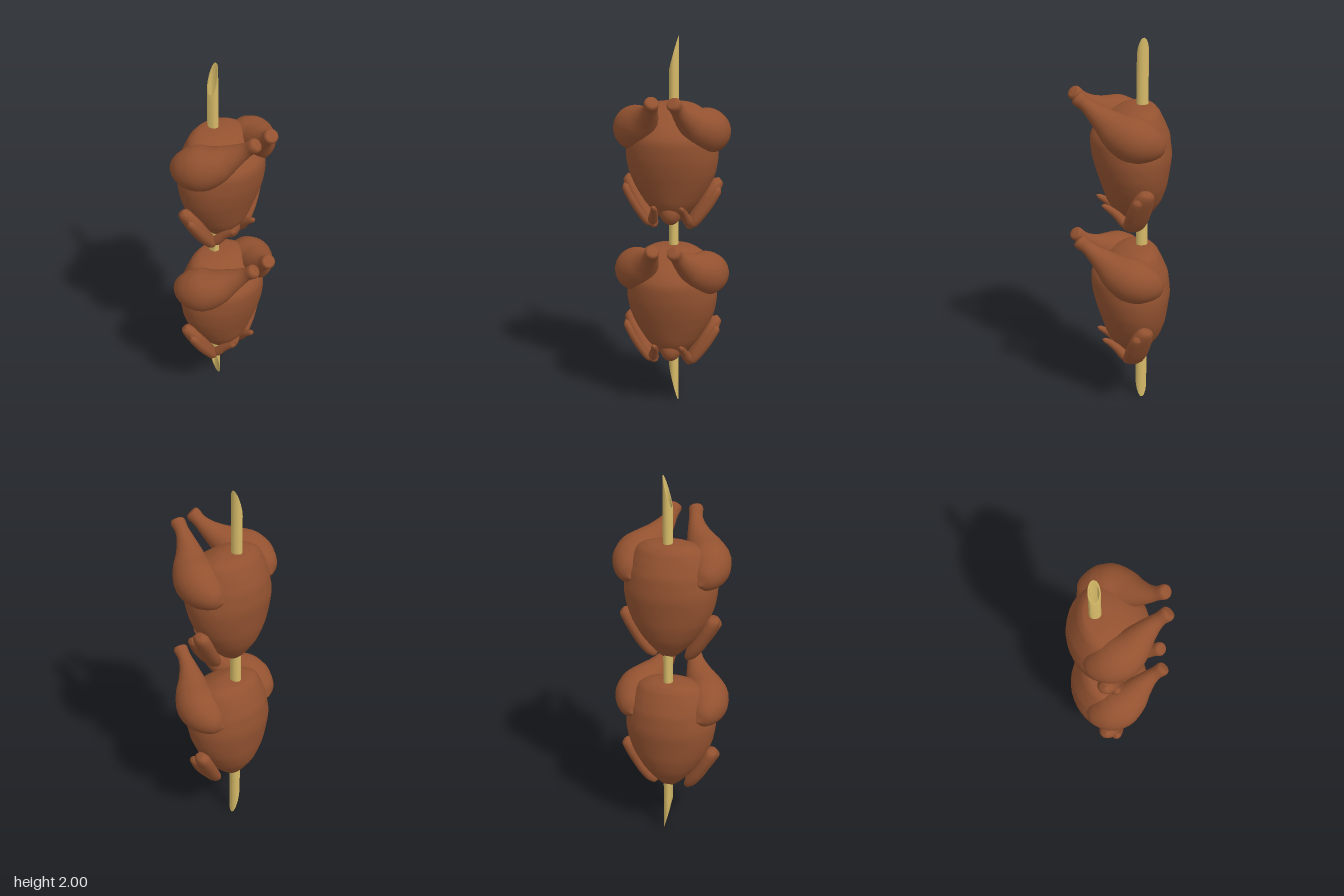
import * as THREE from 'three';
import { toCreasedNormals } from 'three/addons/utils/BufferGeometryUtils.js';

const material = (name, hex) => {
  const m = new THREE.MeshStandardMaterial({ color: hex });
  m.name = name;
  return m;
};

// Smooth closed loft through elliptical sections [x, y, z, radiusA, radiusB].
// ref steers the ring orientation; axis, if given, fixes the ring normal.
function loft(sections, ref, axis, steps = 3, sides = 28) {
  const path = new THREE.CatmullRomCurve3(sections.map(s => new THREE.Vector3(s[0], s[1], s[2])));
  const radii = new THREE.CatmullRomCurve3(sections.map(s => new THREE.Vector3(s[3], s[4] ?? s[3], 0)));
  const n = (sections.length - 1) * steps;
  const pos = [], index = [];
  for (let i = 0; i <= n; i++) {
    const c = path.getPoint(i / n), r = radii.getPoint(i / n);
    const t = axis ?? path.getTangent(i / n);
    const a = t.clone().cross(ref).normalize();
    const b = t.clone().cross(a).normalize();
    for (let j = 0; j < sides; j++) {
      const w = (j / sides) * Math.PI * 2;
      const p = c.clone()
        .addScaledVector(a, Math.cos(w) * Math.max(r.x, 0.0005))
        .addScaledVector(b, Math.sin(w) * Math.max(r.y, 0.0005));
      pos.push(p.x, p.y, p.z);
      if (i < n) {
        const k = i * sides, j2 = (j + 1) % sides;
        index.push(k + j, k + j2, k + sides + j2, k + j, k + sides + j2, k + sides + j);
      }
    }
  }
  const g = new THREE.BufferGeometry();
  g.setAttribute('position', new THREE.Float32BufferAttribute(pos, 3));
  g.setIndex(index);
  g.computeVertexNormals();
  return g;
}

const Y = new THREE.Vector3(0, 1, 0), Z = new THREE.Vector3(0, 0, 1);

// Body rows: height, front z, back z, half width
const BODY = [
  [1.038, -0.07, -0.11, 0], [1.045, -0.02, -0.13, 0.045], [1.08, 0.02, -0.16, 0.085],
  [1.155, 0.07, -0.208, 0.148], [1.24, 0.1, -0.235, 0.198], [1.32, 0.126, -0.247, 0.227],
  [1.41, 0.147, -0.257, 0.238], [1.5, 0.152, -0.248, 0.226], [1.57, 0.105, -0.222, 0.2],
  [1.625, 0.03, -0.195, 0.16], [1.653, -0.035, -0.168, 0.1], [1.66, -0.1, -0.12, 0],
].map(([y, f, b, w]) => [0, y, (f + b) / 2, w, (f - b) / 2]);

const LEG = [
  [0.051, 1.731, 0.236, 0], [0.052, 1.729, 0.234, 0.029], [0.056, 1.718, 0.222, 0.037],
  [0.063, 1.693, 0.193, 0.034], [0.08, 1.655, 0.15, 0.046], [0.11, 1.613, 0.1, 0.069],
  [0.15, 1.57, 0.045, 0.098], [0.18, 1.54, -0.015, 0.115], [0.192, 1.52, -0.07, 0.108],
  [0.19, 1.5, -0.125, 0.08], [0.18, 1.485, -0.165, 0.045], [0.175, 1.48, -0.188, 0],
];

const WING = [
  [0.237, 1.278, -0.09, 0], [0.23, 1.258, -0.085, 0.032, 0.038], [0.2, 1.2, -0.068, 0.038, 0.058],
  [0.15, 1.11, -0.055, 0.038, 0.062], [0.11, 1.05, -0.047, 0.034, 0.055],
  [0.085, 1.018, -0.045, 0.018, 0.033], [0.077, 1.01, -0.045, 0],
];
const FOREARM = [
  [0.25, 1.24, -0.04, 0], [0.238, 1.22, -0.035, 0.022, 0.026], [0.18, 1.13, -0.02, 0.027, 0.03],
  [0.12, 1.05, -0.015, 0.025, 0.03], [0.09, 1.02, -0.015, 0],
];
const WING_TIP = [
  [0.1, 1.03, -0.03, 0], [0.092, 1.06, 0, 0.026], [0.08, 1.1, 0.035, 0.022],
  [0.073, 1.135, 0.075, 0.017], [0.072, 1.152, 0.1, 0.013], [0.072, 1.16, 0.115, 0],
];

export function createModel() {
  const model = new THREE.Group();
  model.name = 'skeweredRoastBirds';
  const skin = material('roastedSkin', 0x935230);
  const wood = material('bambooTan', 0xd6ba68);

  const add = (parent, name, geometry, mat) => {
    const mesh = new THREE.Mesh(geometry, mat);
    mesh.name = name;
    parent.add(mesh);
    return mesh;
  };

  // Hollow skewer with both ends cut on a slant
  const stick = new THREE.LatheGeometry(
    [[0.78, 0], [1, 0], [1, 1], [0.78, 1], [0.78, 0]].map(p => new THREE.Vector2(...p)), 32);
  const p = stick.attributes.position;
  for (let i = 0; i < p.count; i++) {
    const x = p.getX(i), s = (x + 1) / 2;
    const y = p.getY(i) > 0.5 ? 1.82 + 0.18 * s : 0.21 * (1 - s);
    p.setXYZ(i, x * 0.025, y, p.getZ(i) * 0.03 - 0.11);
  }
  add(model, 'skewer', toCreasedNormals(stick, 0.7), wood);

  // Two identical birds, one above the other
  const mirrored = s => s.map(([x, ...rest]) => [-x, ...rest]);
  for (const [name, y] of [['upperBird', 0], ['lowerBird', -0.76]]) {
    const bird = new THREE.Group();
    bird.name = name;
    bird.position.y = y;
    model.add(bird);
    add(bird, 'body', loft(BODY, Z, Y, 4, 40), skin);

    const neck = add(bird, 'neckStub', new THREE.SphereGeometry(1, 24, 16), skin);
    neck.scale.set(0.056, 0.07, 0.07);
    neck.position.set(0, 1.105, -0.01);

    for (const side of ['left', 'right']) {
      const f = side === 'left' ? s => s : mirrored;
      add(bird, side + 'Leg', loft(f(LEG), Y), skin);
      add(bird, side + 'Wing', loft(f(WING), Z), skin);
      add(bird, side + 'Forearm', loft(f(FOREARM), Z), skin);
      add(bird, side + 'WingTip', loft(f(WING_TIP), Y), skin);
    }
  }
  return model;
}
